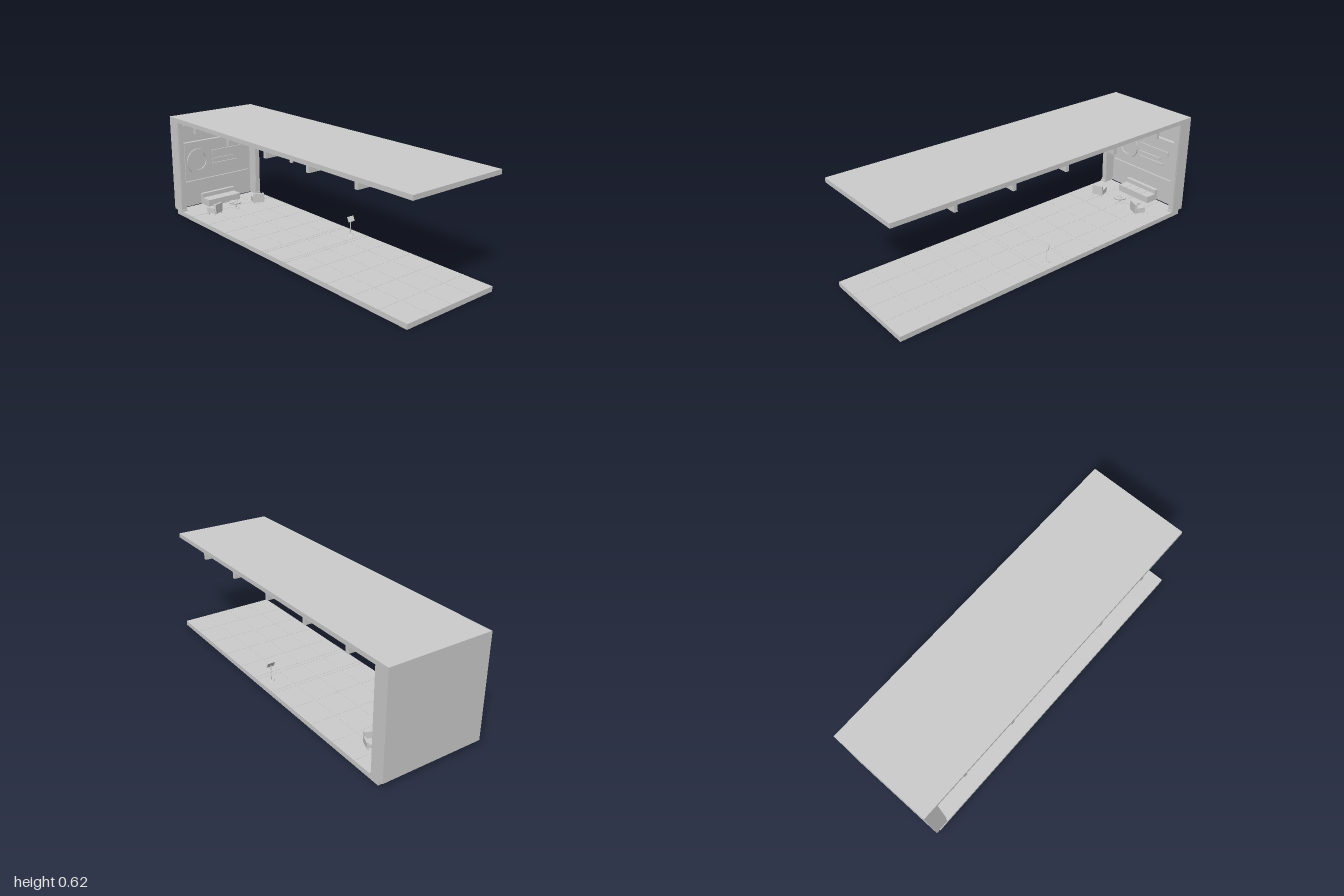
import * as THREE from 'three';

export function createModel() {
  const model = new THREE.Group();
  model.name = 'openHall';
  const grey = new THREE.MeshStandardMaterial({ color: 0xcccccc });
  grey.name = 'plainGrey';

  const add = (name, geometry, parent = model) => {
    const mesh = new THREE.Mesh(geometry, grey);
    mesh.name = name;
    parent.add(mesh);
    return mesh;
  };
  // Box given by its limits on each axis
  const box = (name, x0, x1, y0, y1, z0, z1, parent) => {
    const mesh = add(name, new THREE.BoxGeometry(x1 - x0, y1 - y0, z1 - z0), parent);
    mesh.position.set((x0 + x1) / 2, (y0 + y1) / 2, (z0 + z1) / 2);
    return mesh;
  };
  // Upright cylinder or cone
  const post = (name, x, z, y0, y1, rTop, rBottom, parent, sides = 24) => {
    const mesh = add(name, new THREE.CylinderGeometry(rTop, rBottom, y1 - y0, sides), parent);
    mesh.position.set(x, (y0 + y1) / 2, z);
    return mesh;
  };
  const FLOOR = 0.028;

  // Shell: floor, roof, rear wall, side pilasters
  box('floorSlab', -0.3, 0.3, 0, FLOOR, -0.97, 1);
  box('roofSlab', -0.3, 0.3, 0.595, 0.62, -1, 1);
  box('rearWall', -0.3, 0.3, FLOOR, 0.595, -1, -0.978);
  for (const s of [-1, 1]) {
    const px = (name, a, b, y0, y1, z0, z1) =>
      box(name, Math.min(s * a, s * b), Math.max(s * a, s * b), y0, y1, z0, z1);
    px('pilaster', 0.265, 0.3, FLOOR, 0.595, -0.978, -0.915);
    px('pilasterFacing', 0.265, 0.297, 0.112, 0.595, -0.915, -0.91);
    px('pilasterPlinth', 0.265, s < 0 ? 0.303 : 0.3, FLOOR, 0.038, -0.978, -0.908);
  }
  box('cornice', -0.265, 0.265, 0.544, 0.556, -0.978, -0.966);

  // Floor seams
  for (const x of [-0.15, 0, 0.15])
    box('lengthSeam', x - 0.002, x + 0.002, FLOOR, FLOOR + 0.001, -0.97, 1);
  for (let i = 1; i < 11; i++) {
    const z = 1 - i * 0.179;
    box('crossSeam', -0.3, 0.3, FLOOR, FLOOR + 0.001, z - 0.002, z + 0.002);
  }
  for (const z of [0.13, -0.05])
    box('thresholdStrip', -0.3, 0.3, FLOOR, FLOOR + 0.0012, z - 0.002, z + 0.002);

  // Ceiling beams and light panels
  for (let i = 0; i < 5; i++) {
    const zb = 0.66 - i * 0.344;
    box('ceilingBeam', -0.3, 0.3, 0.56, 0.595, zb - 0.01, zb + 0.01);
    const zp = i < 4 ? 0.49 - i * 0.345 : -0.855;
    for (const x of [-0.14, 0.14])
      box('ceilingLightPanel', x - 0.058, x + 0.058, 0.591, 0.595, zp - 0.047, zp + 0.047);
  }

  // Spotlights on a rail
  box('spotlightRail', -0.26, 0.26, 0.588, 0.595, 0.07, 0.08);
  for (const x of [-0.19, -0.065, 0.065, 0.19]) {
    const spot = new THREE.Group();
    spot.name = 'spotlight';
    spot.position.set(x, 0.588, 0.075);
    spot.rotation.x = 0.4;
    post('spotlightStem', 0, 0, -0.03, 0.002, 0.002, 0.002, spot, 10);
    post('spotlightHead', 0, 0, -0.053, -0.028, 0.007, 0.011, spot);
    model.add(spot);
  }

  // Decorative wall panel
  const panelZ = -0.966;
  box('wallPanel', -0.23, 0.23, 0.197, 0.44, -0.978, panelZ);
  box('panelTopRail', -0.237, 0.237, 0.44, 0.447, -0.978, -0.955);
  box('panelBottomRail', -0.237, 0.237, 0.19, 0.197, -0.978, -0.955);
  const ringShape = new THREE.Shape().absarc(-0.137, 0.318, 0.081, 0, Math.PI * 2);
  ringShape.holes.push(new THREE.Path().absarc(-0.137, 0.318, 0.057, 0, Math.PI * 2, true));
  const ring = add('wallRing', new THREE.ExtrudeGeometry(ringShape,
    { depth: 0.008, bevelEnabled: false, curveSegments: 32 }));
  ring.position.z = panelZ;
  for (const [x1, y0, y1] of [[0.19, 0.343, 0.372], [0.13, 0.304, 0.317], [0.155, 0.274, 0.286]])
    box('wallBar', -0.034, x1, y0, y1, panelZ, panelZ + 0.008);

  // Bench against the wall
  box('benchBase', -0.12, 0.12, FLOOR, 0.062, -0.978, -0.888);
  box('benchBack', -0.12, 0.12, 0.062, 0.097, -0.978, -0.955);
  for (let i = 0; i < 4; i++) {
    const x = -0.12 + i * 0.06;
    box('benchCushion', x + 0.001, x + 0.059, 0.062, 0.071, -0.955, -0.885);
  }

  // Armchairs, seen from behind and turned slightly outward
  for (const s of [-1, 1]) {
    const chair = new THREE.Group();
    chair.name = 'armchair';
    chair.position.set(s * 0.162, FLOOR, -0.748);
    chair.rotation.y = -s * 0.36;
    box('chairSeat', -0.029, 0.029, 0.015, 0.035, -0.032, 0.02, chair);
    box('chairBack', -0.033, 0.033, 0.014, 0.072, 0.018, 0.032, chair);
    for (const a of [-1, 1]) {
      box('chairArm', a * 0.032 - 0.005, a * 0.032 + 0.005, 0.015, 0.047, -0.034, 0.024, chair);
      for (const z of [-0.026, 0.022])
        post('chairLeg', a * 0.027, z, 0, 0.016, 0.0025, 0.002, chair, 10);
    }
    model.add(chair);
  }

  // Round table
  post('tableBase', 0, -0.765, FLOOR, 0.032, 0.025, 0.026);
  post('tableStem', 0, -0.765, 0.032, 0.061, 0.004, 0.008);
  post('tableTop', 0, -0.765, 0.061, 0.067, 0.04, 0.038, model, 40);
  box('book', -0.022, 0, 0.067, 0.07, -0.775, -0.758);
  post('cup', 0.016, -0.765, 0.067, 0.073, 0.004, 0.003);

  // Stand with tilted plate
  post('standBase', 0.237, 0.052, FLOOR, 0.032, 0.018, 0.02);
  post('standPole', 0.237, 0.052, 0.032, 0.118, 0.0022, 0.0022, model, 12);
  const plate = box('standPlate', 0.215, 0.259, 0.109, 0.141, 0.052, 0.057);
  plate.rotation.x = -0.45;

  return model;
}
